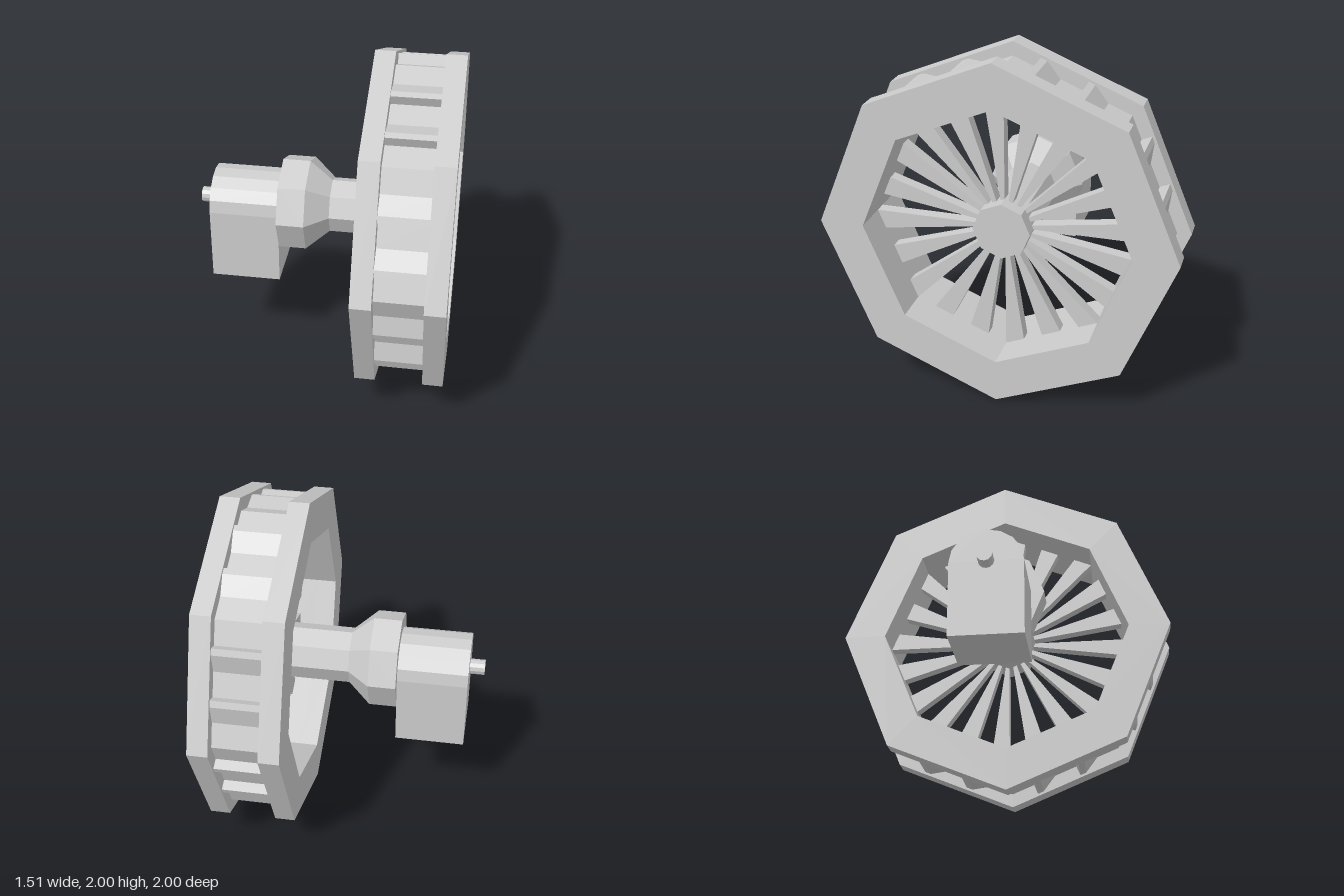
import * as THREE from 'three';

const AXLE_Y = 1;
const material = new THREE.MeshStandardMaterial({ color: 0xcccccc, flatShading: true });

// Corner k of an octagon around the axle, in (z, y)
const corner = (k, r) => new THREE.Vector2(Math.cos(k * Math.PI / 4) * r, Math.sin(k * Math.PI / 4) * r);

// Point j of an octagon whose sides are each split into five
function fifth(j, r) {
  const k = Math.floor(j / 5);
  return corner(k, r).lerp(corner(k + 1, r), (j - k * 5) / 5);
}

const octagon = (r) => Array.from({ length: 8 }, (_, k) => corner(k, r));

// Extrude a (z, y) outline along x from x0 to x1
function slab(name, outline, x0, x1, hole) {
  // Mirror z into shape space, reversing so the outline stays counter-clockwise
  const flip = (pts) => pts.map((p) => new THREE.Vector2(-p.x, p.y)).reverse();
  const shape = new THREE.Shape(flip(outline));
  if (hole) shape.holes.push(new THREE.Path(flip(hole).reverse()));
  const geometry = new THREE.ExtrudeGeometry(shape, { depth: x1 - x0, bevelEnabled: false });
  geometry.rotateY(Math.PI / 2);
  const mesh = new THREE.Mesh(geometry, material);
  mesh.name = name;
  mesh.position.set(x0, AXLE_Y, 0);
  return mesh;
}

// Round part along x, from radius r0 at x0 to r1 at x1
function rod(name, x0, x1, r0, r1 = r0, sides = 8) {
  const geometry = new THREE.CylinderGeometry(r1, r0, x1 - x0, sides);
  geometry.rotateZ(-Math.PI / 2);
  const mesh = new THREE.Mesh(geometry, material);
  mesh.name = name;
  mesh.position.set((x0 + x1) / 2, AXLE_Y, 0);
  return mesh;
}

// Drum outline: an octagon with two saw-tooth buckets on each side
function drumOutline(r, height, flat) {
  const points = [];
  for (let k = 0; k < 8; k++) {
    const a = corner(k, r);
    const side = corner(k + 1, r).sub(a);
    const length = side.length();
    side.normalize();
    const at = (u, h) => new THREE.Vector2(a.x + side.x * u + side.y * h, a.y + side.y * u - side.x * h);
    points.push(a);
    for (const start of [0.2, 0.6]) {
      const u = start * length;
      points.push(at(u, 0), at(u, height), at(u + flat, height), at(u + 0.2 * length, 0));
    }
  }
  return points;
}

export function createModel() {
  const model = new THREE.Group();
  model.name = 'waterWheel';

  // Wheel: two rims with the bucket drum between them
  const wheel = new THREE.Group();
  wheel.name = 'wheel';
  wheel.add(slab('innerRim', octagon(1), 0.255, 0.37, octagon(0.75)));
  wheel.add(slab('outerRim', octagon(1), 0.64, 0.755, octagon(0.75)));
  wheel.add(slab('bucketDrum', drumOutline(0.92, 0.06, 0.038), 0.37, 0.64, octagon(0.75)));

  // Twenty wedge spokes on every second fifth of the sides
  for (let j = 1; j < 40; j += 2) {
    const wedge = [fifth(j, 0.14), fifth(j, 0.76), fifth(j + 1, 0.76), fifth(j + 1, 0.14)];
    wheel.add(slab('spoke', wedge.reverse(), 0.475, 0.545));
  }
  model.add(wheel);

  // Shaft with its stepped collar
  model.add(rod('shaft', 0.02, 0.62, 0.163));
  model.add(rod('collarCone', -0.105, 0.025, 0.28, 0.163));
  model.add(rod('collar', -0.265, -0.105, 0.28));

  // Bearing block with an arched top
  const block = [new THREE.Vector2(-0.205, -0.433), new THREE.Vector2(0.205, -0.433)];
  for (let i = 0; i <= 8; i++) {
    const t = i * Math.PI / 8;
    block.push(new THREE.Vector2(Math.cos(t) * 0.205, Math.sin(t) * 0.19));
  }
  model.add(slab('bearingBlock', block, -0.67, -0.265));

  model.add(rod('axleStub', -0.757, -0.665, 0.045, 0.045, 12));
  return model;
}
